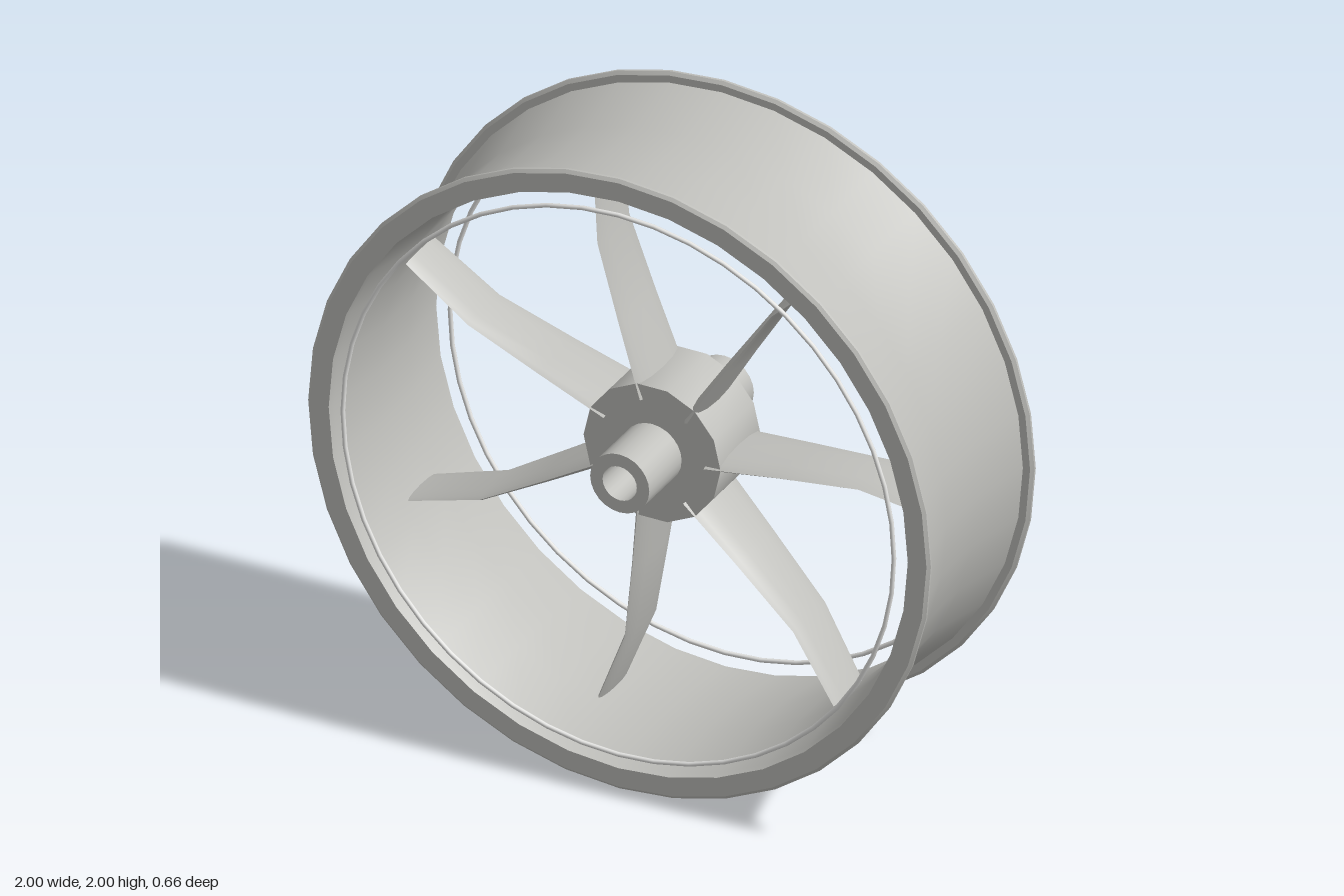
import * as THREE from 'three';
import { toCreasedNormals } from 'three/addons/utils/BufferGeometryUtils.js';

const metal = new THREE.MeshStandardMaterial({ color: 0xc0c0bc });
metal.name = 'satin metal';
const white = new THREE.MeshStandardMaterial({ color: 0xf2f2f0 });
white.name = 'white trim';

// Closed profile of [radius, z] turned around the z axis
function turned(profile, sides, turn = 0) {
  const pts = [...profile, profile[0]].map(([r, z]) => new THREE.Vector2(r, z));
  const geo = new THREE.LatheGeometry(pts, sides);
  geo.rotateY(turn).rotateX(Math.PI / 2);
  return toCreasedNormals(geo, 0.6);
}

// Lens-shaped blade lofted through stations of [radius, sideways offset, half thickness, half width]
function bladeGeometry() {
  const stations = [
    [0.17, -0.003, 0.024, 0.128],
    [0.40, 0.022, 0.018, 0.112],
    [0.65, 0.045, 0.012, 0.096],
    [0.905, 0.007, 0.011, 0.086],
  ];
  const n = 12, pos = [], idx = [];
  for (const [r, off, t, w] of stations) {
    for (let i = 0; i < n; i++) {
      const a = (i / n) * Math.PI * 2;
      pos.push(r, off + t * Math.cos(a), w * Math.sin(a));
    }
  }
  for (let s = 0; s < stations.length - 1; s++) {
    for (let i = 0; i < n; i++) {
      const a = s * n + i, b = s * n + (i + 1) % n;
      idx.push(a, a + n, b, b, a + n, b + n);
    }
  }
  // Flip the winding if needed is avoided: sections run y to z, so these caps face -x and +x
  const last = (stations.length - 1) * n;
  for (let i = 1; i < n - 1; i++) {
    idx.push(0, i + 1, i);
    idx.push(last, last + i, last + i + 1);
  }
  // Side walls: reorder so they face outwards
  const walls = (stations.length - 1) * n * 6;
  for (let k = 0; k < walls; k += 3) [idx[k + 1], idx[k + 2]] = [idx[k + 2], idx[k + 1]];
  const geo = new THREE.BufferGeometry();
  geo.setAttribute('position', new THREE.Float32BufferAttribute(pos, 3));
  geo.setIndex(idx);
  return toCreasedNormals(geo, 0.9);
}

export function createModel() {
  const model = new THREE.Group();
  model.name = 'wheel';
  const wheel = new THREE.Group();
  wheel.name = 'wheelBody';
  wheel.position.y = 1;
  model.add(wheel);

  const add = (name, geo, mat = metal) => {
    const mesh = new THREE.Mesh(geo, mat);
    mesh.name = name;
    wheel.add(mesh);
    return mesh;
  };

  // Rim: waisted barrel with a rounded flange on each side
  const outerHalf = [[0.93, 0.09], [0.967, 0.3], [0.99, 0.3], [1.0, 0.308], [1.0, 0.316], [0.99, 0.324], [0.93, 0.324]];
  const innerHalf = [[0.925, 0.3], [0.897, 0.09]];
  const flip = (list) => list.map(([r, z]) => [r, -z]).reverse();
  add('rim', turned([...flip(outerHalf), ...outerHalf, ...innerHalf, ...flip(innerHalf)], 36));

  // Thin trim rings just inside the flanges
  for (const side of [1, -1]) {
    const ring = add(side > 0 ? 'frontTrimRing' : 'backTrimRing', new THREE.TorusGeometry(0.885, 0.007, 8, 48), white);
    ring.position.z = side * 0.323;
  }

  // Hub drum and hollow axle
  add('hub', turned([[0.06, -0.12], [0.22, -0.12], [0.22, 0.12], [0.06, 0.12]], 14, Math.PI / 14));
  add('axle', turned([[0.055, -0.315], [0.095, -0.315], [0.095, 0.315], [0.055, 0.315]], 24));

  // Seven bent blade spokes
  const blade = bladeGeometry();
  for (let i = 0; i < 7; i++) {
    add('spoke', blade).rotation.z = (i / 7) * Math.PI * 2;
  }

  // Valve stem
  const stem = add('valveStem', new THREE.CylinderGeometry(0.018, 0.018, 0.16, 10));
  stem.position.y = 0.825;

  return model;
}
